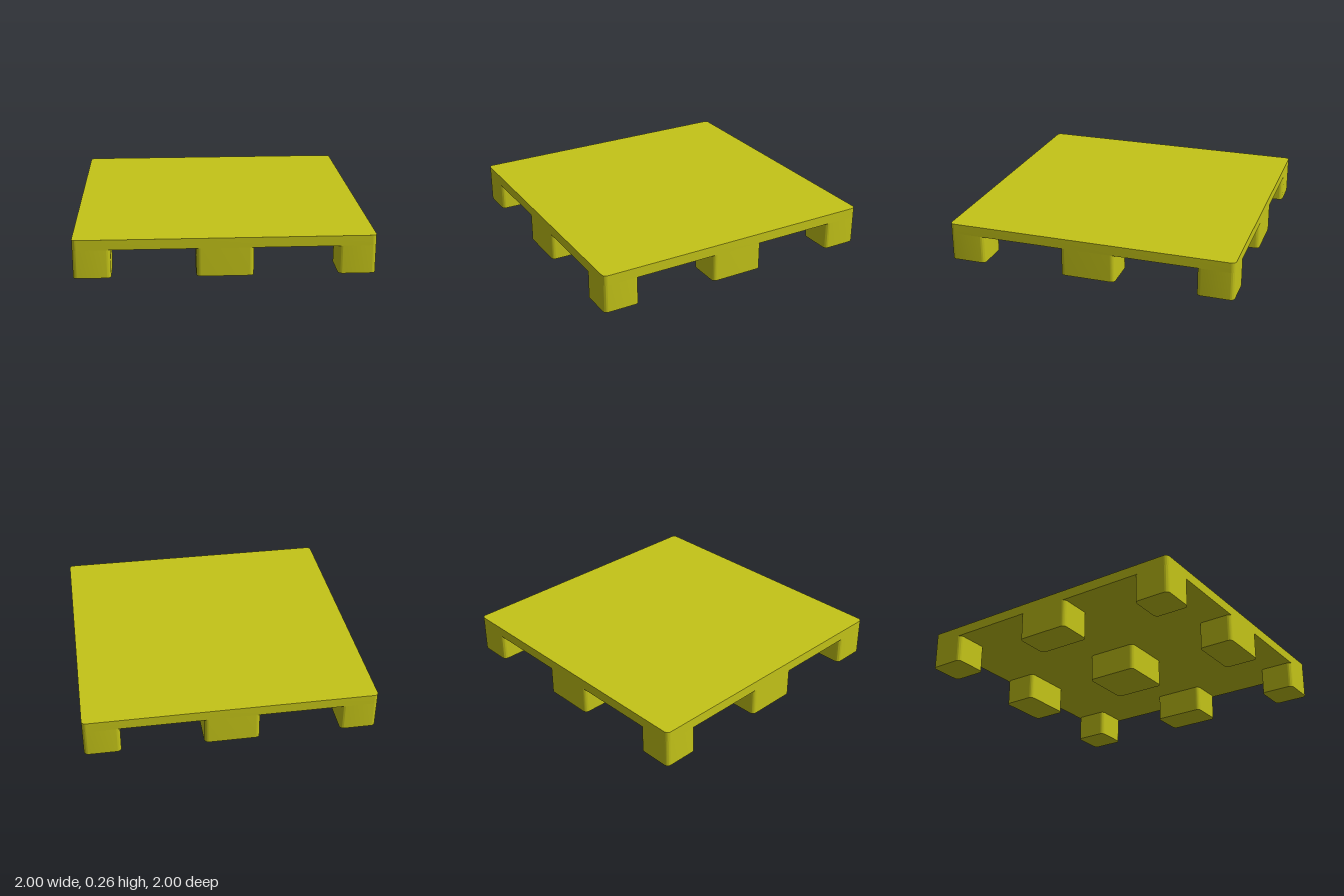
import * as THREE from 'three';
import { toCreasedNormals } from 'three/addons/utils/BufferGeometryUtils.js';

const DECK_BOTTOM = 0.195, TOP = 0.265, RADIUS = 0.03;

// Upright slab with rounded vertical corners, standing on its base at y = 0
function roundedSlab(width, depth, height) {
  const x = width / 2, y = depth / 2, r = RADIUS;
  const s = new THREE.Shape();
  s.absarc(x - r, y - r, r, 0, Math.PI / 2);
  s.absarc(-x + r, y - r, r, Math.PI / 2, Math.PI);
  s.absarc(-x + r, -y + r, r, Math.PI, Math.PI * 1.5);
  s.absarc(x - r, -y + r, r, Math.PI * 1.5, Math.PI * 2);
  const g = new THREE.ExtrudeGeometry(s, { depth: height, bevelEnabled: false, curveSegments: 8 });
  g.rotateX(-Math.PI / 2);
  return toCreasedNormals(g, Math.PI / 6);
}

export function createModel() {
  const group = new THREE.Group();
  const material = new THREE.MeshStandardMaterial({ color: 0xc4c418 });

  const add = (name, geometry, x, y, z) => {
    const mesh = new THREE.Mesh(geometry, material);
    mesh.name = name;
    mesh.position.set(x, y, z);
    group.add(mesh);
  };

  // Flat top plate
  add('deck', roundedSlab(2, 2, TOP - DECK_BOTTOM), 0, DECK_BOTTOM, 0);

  // Three by three grid of feet: narrow at the rims, wide in the middle
  const spans = [
    { at: -0.875, size: 0.25 },
    { at: 0, size: 0.38 },
    { at: 0.875, size: 0.25 },
  ];
  for (const sx of spans) {
    for (const sz of spans) {
      const rims = (sx.at !== 0) + (sz.at !== 0);
      const name = ['centreFoot', 'edgeFoot', 'cornerFoot'][rims];
      add(name, roundedSlab(sx.size, sz.size, DECK_BOTTOM), sx.at, 0, sz.at);
    }
  }
  return group;
}
